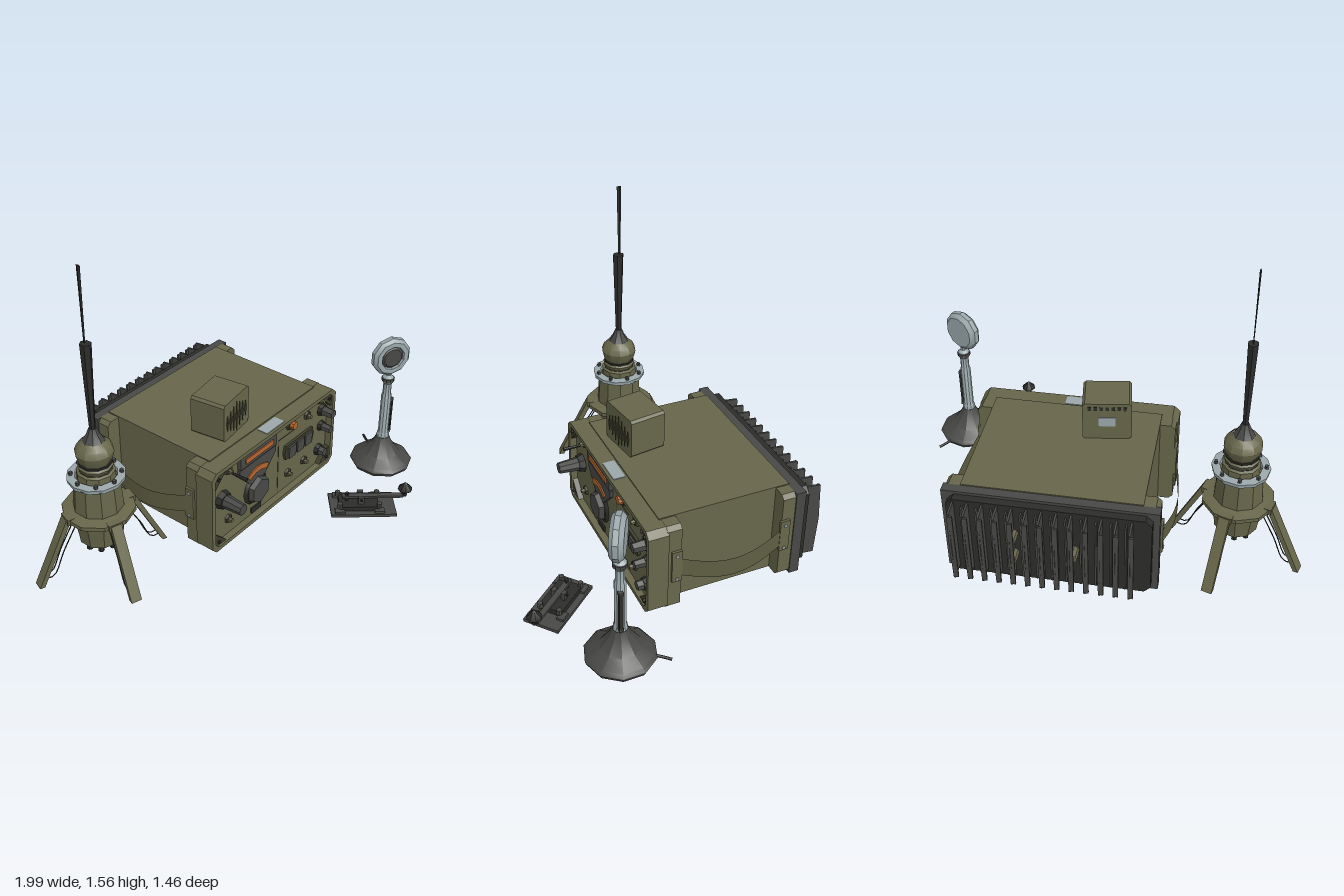
import * as THREE from 'three';
import { toCreasedNormals } from 'three/addons/utils/BufferGeometryUtils.js';

const paint = (name, color, side = THREE.FrontSide) => {
  const m = new THREE.MeshStandardMaterial({ color, side });
  m.name = name;
  return m;
};

export function createModel() {
  const olive = paint('olive', 0x67664a), strapOlive = paint('strap olive', 0x5f5e42, THREE.DoubleSide);
  const darkOlive = paint('dark olive', 0x3f3f2e), charcoal = paint('charcoal', 0x484846);
  const black = paint('black', 0x2c2c2a), silver = paint('silver', 0x9aa7aa), amber = paint('amber', 0xb8662e);

  const model = new THREE.Group();
  const group = (name, parent, x = 0, y = 0, z = 0, yaw = 0) => {
    const g = new THREE.Group();
    g.name = name;
    g.position.set(x, y, z);
    g.rotation.y = yaw;
    parent.add(g);
    return g;
  };
  const add = (parent, name, geo, mat, x = 0, y = 0, z = 0, rx = 0, ry = 0, rz = 0) => {
    const m = new THREE.Mesh(toCreasedNormals(geo, 0.5), mat);
    m.name = name;
    m.position.set(x, y, z);
    m.rotation.set(rx, ry, rz);
    parent.add(m);
    return m;
  };
  const box = (w, h, d) => new THREE.BoxGeometry(w, h, d);
  const cyl = (rTop, rBottom, h, n = 10) => new THREE.CylinderGeometry(rTop, rBottom, h, n);
  const lathe = (pts, n) => new THREE.LatheGeometry(pts.map(p => new THREE.Vector2(p[0], p[1])), n);
  const rod = (pts, r) => new THREE.TubeGeometry(
    new THREE.CatmullRomCurve3(pts.map(p => new THREE.Vector3(...p))), pts.length * 3, r, 5);
  const polygon = (pts, Type = THREE.Shape) => new Type(pts.map(p => new THREE.Vector2(p[0], p[1])));
  const chamfered = (w, h, c) => [[-w + c, -h], [w - c, -h], [w, -h + c], [w, h - c], [w - c, h], [-w + c, h], [-w, h - c], [-w, -h + c]];
  const extrude = (shape, depth) => new THREE.ExtrudeGeometry(shape, { depth, bevelEnabled: false, curveSegments: 8 });

  // Radio case with raised end bands
  const radio = group('radio', model, 0.162, 0.27, 0);
  add(radio, 'case', box(0.84, 0.475, 0.66), olive, 0, 0.003, -0.23);
  for (const [z, d] of [[0.055, 0.07], [-0.525, 0.07]])
    add(radio, 'endBand', extrude(polygon(chamfered(0.495, 0.235, 0.02)), d), olive, 0, 0, z - d / 2);
  const frame = polygon(chamfered(0.502, 0.234, 0.03));
  frame.holes.push(polygon(chamfered(0.478, 0.212, 0.025), THREE.Path));
  add(radio, 'frontFrame', extrude(frame, 0.1), olive, 0, 0, 0.085);
  add(radio, 'frontPanel', box(0.96, 0.43, 0.07), olive, 0, 0, 0.115);
  add(radio, 'topPlate', box(0.14, 0.006, 0.06), silver, 0, 0.235, 0.14);
  for (const sx of [-1, 1]) for (const sy of [-1, 1]) {
    add(radio, 'cornerGuard', extrude(polygon(sx * sy > 0
      ? [[0, 0], [-0.08 * sx, 0], [0, -0.08 * sy]] : [[0, 0], [0, -0.08 * sy], [-0.08 * sx, 0]]), 0.03),
    darkOlive, 0.474 * sx, 0.208 * sy, 0.148);
    add(radio, 'frameBolt', cyl(0.009, 0.009, 0.012, 6), black, 0.45 * sx, 0.185 * sy, 0.181, Math.PI / 2);
  }

  // Carrying straps, bowed outward and sagging, with riveted clips
  for (const s of [-1, 1]) {
    const strap = new THREE.PlaneGeometry(0.55, 0.095, 12, 1);
    const p = strap.attributes.position;
    for (let i = 0; i < p.count; i++) {
      const z = p.getX(i), bow = Math.cos(z / 0.275 * Math.PI / 2);
      p.setXYZ(i, s * (0.498 + 0.045 * bow), p.getY(i) + 0.012 - 0.055 * bow, z);
    }
    strap.computeVertexNormals();
    add(radio, 'carryStrap', strap, strapOlive, 0, 0, -0.23);
    for (const z of [0.045, -0.505]) {
      add(radio, 'strapClip', box(0.014, 0.17, 0.05), olive, s * 0.5, 0.015, z);
      for (const y of [-0.055, 0.075])
        add(radio, 'rivet', cyl(0.009, 0.009, 0.008, 8), silver, s * 0.508, y, z, 0, 0, Math.PI / 2);
    }
  }

  // Rear cooling block: stepped plate, T-shaped fins and small bosses
  const cooler = group('coolingBlock', radio, 0, 0, 0);
  add(cooler, 'rearPlate', box(1.0, 0.47, 0.05), charcoal, 0, 0, -0.58);
  add(cooler, 'rearStep', extrude(polygon(chamfered(0.47, 0.22, 0.03)), 0.04), black, 0, 0, -0.643);
  for (let i = 0; i < 13; i++) {
    const x = -0.39 + i * 0.068;
    add(cooler, 'fin', extrude(polygon([[0.63, -0.19], [0.72, -0.2], [0.732, 0], [0.72, 0.2], [0.63, 0.21]]), 0.01),
      charcoal, x + 0.005, 0, 0, 0, Math.PI / 2);
    add(cooler, 'finEdge', box(0.02, 0.38, 0.01), charcoal, x, 0, -0.72);
    if (i < 12) add(cooler, 'lowFin', box(0.008, 0.38, 0.035), charcoal, x + 0.034, 0, -0.655);
  }
  for (const [x, y] of [[-0.12, 0], [0.16, 0.06], [0.16, -0.06]])
    add(cooler, 'boss', cyl(0.022, 0.022, 0.07, 8), olive, x, y, -0.67, Math.PI / 2);

  // Front panel fittings, placed in model coordinates
  const panel = group('controls', radio, -0.162, -0.27, 0.15);
  const plate = (name, mat, pts, depth = 0.008, z = 0) => add(panel, name, extrude(polygon(pts), depth), mat, 0, 0, z);
  const rect = (x0, y0, x1, y1) => [[x0, y0], [x1, y0], [x1, y1], [x0, y1]];
  plate('displayPlate', charcoal, rect(-0.11, 0.4, 0.175, 0.47), 0.02);
  plate('displayStrip', amber, rect(-0.075, 0.422, 0.14, 0.448), 0.006, 0.02);
  plate('scalePlate', charcoal, [[-0.03, 0.27], [0.09, 0.27], [0.175, 0.36], [0.175, 0.392], [-0.11, 0.392], [-0.11, 0.36]], 0.015);
  const arc = new THREE.Shape();
  arc.absarc(0.03, 0.21, 0.14, Math.PI * 0.3, Math.PI * 0.7);
  arc.absarc(0.03, 0.21, 0.11, Math.PI * 0.7, Math.PI * 0.3, true);
  add(panel, 'scaleArc', extrude(arc, 0.006), amber, 0, 0, 0.015);
  const knob = (name, mat, x, y, r, len, n = 8, taper = 0.85) =>
    add(panel, name, cyl(r * taper, r, len, n), mat, x, y, len / 2, Math.PI / 2);
  knob('tuningSkirt', black, 0.03, 0.21, 0.092, 0.014, 12);
  knob('tuningKnob', charcoal, 0.03, 0.21, 0.08, 0.04, 6);
  knob('volumeSkirt', black, -0.23, 0.295, 0.05, 0.03, 8);
  knob('volumeKnob', charcoal, -0.23, 0.295, 0.038, 0.132, 8, 0.75);
  for (const [x, y, r, len] of [[0.585, 0.39, 0.036, 0.08], [0.585, 0.29, 0.03, 0.07], [0.57, 0.145, 0.034, 0.05]]) {
    knob('smallSkirt', black, x, y, r, 0.02, 8);
    knob('smallKnob', charcoal, x, y, r * 0.8, len, 6);
  }
  knob('lampRing', darkOlive, 0.31, 0.445, 0.036, 0.015);
  knob('lamp', amber, 0.31, 0.445, 0.025, 0.035);
  for (const [x, y] of [[-0.185, 0.44], [-0.185, 0.15], [0.455, 0.42], [0.3, 0.145], [0.44, 0.145], [0.57, 0.455]]) {
    knob('socket', darkOlive, x, y, 0.026, 0.012, 6);
    knob('socketPin', olive, x, y, 0.013, 0.03, 6);
  }
  add(panel, 'toggle', cyl(0.01, 0.006, 0.1, 6), black, -0.185, 0.435, 0.065, Math.PI / 2);
  plate('meterBezel', darkOlive, [[0.265, 0.25], [0.495, 0.25], [0.505, 0.29], [0.495, 0.332], [0.265, 0.332], [0.255, 0.29]], 0.015);
  for (const x of [0.31, 0.38, 0.45])
    plate('meter', charcoal, rect(x - 0.029, 0.252, x + 0.029, 0.318), 0.025);
  plate('badge', black, rect(-0.005, 0.068, 0.07, 0.098));
  plate('panelSeam', darkOlive, rect(0.215, 0.07, 0.219, 0.39), 0.002);
  plate('panelSeam', darkOlive, rect(0.215, 0.386, 0.36, 0.39), 0.002);

  // Loudspeaker on top of the case
  const speaker = group('loudspeaker', model, -0.008, 0.617, -0.043, 0.145);
  add(speaker, 'speakerBox', extrude(polygon(chamfered(0.117, 0.102, 0.012)), 0.185), olive, 0, 0, -0.0925);
  for (let i = -3; i <= 3; i++) {
    const h = 0.082 - Math.abs(i) * 0.013;
    add(speaker, 'grilleSlot', extrude(polygon([[0, -h], [0.009, 0], [0, h], [-0.009, 0]]), 0.004), darkOlive, i * 0.028, -0.01, 0.092);
    add(speaker, 'rearSlot', box(0.016, 0.02, 0.004), black, i * 0.028, 0.075, -0.093);
  }
  add(speaker, 'rearLabel', box(0.08, 0.05, 0.006), silver, 0, 0, -0.094);

  // Antenna: base, collars, dome, whip and four legs
  const antenna = group('antenna', model, -0.665, 0, -0.232, 0);
  add(antenna, 'antennaBase', lathe([[0, 0.16], [0.105, 0.16], [0.11, 0.2], [0.125, 0.3], [0.175, 0.315], [0.175, 0.335],
    [0.12, 0.345], [0.11, 0.49], [0.135, 0.505], [0, 0.505]], 10), olive);
  add(antenna, 'collarRing', lathe([[0.135, 0.498], [0.138, 0.518], [0.1, 0.522], [0.095, 0.5]], 12), silver);
  add(antenna, 'antennaDome', lathe([[0.092, 0.5], [0.092, 0.545], [0.075, 0.555], [0.085, 0.575], [0.07, 0.59], [0.082, 0.61],
    [0.092, 0.65], [0.08, 0.68], [0.052, 0.705]], 10), olive);
  add(antenna, 'domeTip', lathe([[0.053, 0.704], [0.03, 0.74], [0.018, 0.77], [0, 0.77]], 8), charcoal);
  for (const y of [0.55, 0.59]) add(antenna, 'groove', cyl(0.08, 0.08, 0.008, 10), black, 0, y, 0);
  add(antenna, 'lowerWhip', cyl(0.026, 0.014, 0.44, 6), black, 0, 0.98, 0).scale.z = 1.1;
  add(antenna, 'upperWhip', cyl(0.012, 0.006, 0.36, 4), black, 0, 1.38, -0.006).scale.x = 0.35;
  for (let i = 0; i < 8; i++) {
    const a = i * Math.PI / 4;
    add(antenna, 'ringBolt', cyl(0.01, 0.01, 0.02, 6), charcoal, 0.116 * Math.cos(a), 0.525, 0.116 * Math.sin(a));
    add(antenna, 'baseBolt', cyl(0.015, 0.015, 0.04, 6), black, 0.075 * Math.cos(a), 0.145, 0.075 * Math.sin(a));
  }
  add(antenna, 'cableSocket', cyl(0.025, 0.02, 0.05, 8), black, 0, 0.14, 0);
  for (let i = 0; i < 4; i++) {
    const leg = group('leg', antenna, 0, 0, 0, -0.315 + i * Math.PI / 2);
    add(leg, 'legPlate', extrude(polygon([[0.15, 0.335], [0.315, 0], [0.34, 0], [0.178, 0.335]]), 0.052), olive, 0, 0, -0.026);
    add(leg, 'hinge', box(0.05, 0.03, 0.07), olive, 0.15, 0.325, 0);
    for (const z of [-0.015, 0.015])
      add(leg, 'legWire', rod([[0.12, 0.3, z], [0.2, 0.16, z], [0.26, 0.04, z], [0.3, 0.04, z]], 0.003), black);
  }

  // Desk microphone
  const mic = group('microphone', model, 0.832, 0, 0.39, 0);
  add(mic, 'micBase', lathe([[0, 0.035], [0.155, 0.035], [0.165, 0.055], [0.15, 0.072], [0.095, 0.105], [0.05, 0.165],
    [0.035, 0.2], [0, 0.2]], 10), charcoal);
  add(mic, 'stem', lathe([[0.034, 0.19], [0.032, 0.22], [0.027, 0.23], [0.027, 0.46], [0.022, 0.47], [0.022, 0.53],
    [0.03, 0.54], [0.03, 0.565], [0.015, 0.58], [0.015, 0.62]], 10), silver);
  add(mic, 'stemCollar', cyl(0.034, 0.034, 0.016), charcoal, 0, 0.555, 0);
  add(mic, 'talkLever', box(0.014, 0.2, 0.018), black, 0.034, 0.32, 0.012);
  for (const y of [0.22, 0.42]) add(mic, 'leverMount', box(0.03, 0.016, 0.022), charcoal, 0.026, y, 0.01);
  add(mic, 'cable', rod([[0.07, 0.055, -0.12], [0.1, 0.052, -0.16], [0.125, 0.05, -0.19]], 0.007), black);
  const head = group('micHead', mic, -0.004, 0.695, 0.003, -0.52);
  const disc = lathe([[0, -0.03], [0.085, -0.03], [0.106, -0.01], [0.106, 0.015], [0.09, 0.032], [0.065, 0.032],
    [0.062, 0.018], [0, 0.018]], 10);
  add(head, 'headShell', disc, silver, 0, 0, 0, Math.PI / 2);
  add(head, 'headGrille', cyl(0.05, 0.063, 0.012, 10), charcoal, 0, 0, 0.024, Math.PI / 2);

  // Telegraph key
  const key = group('telegraphKey', model, 0.432, 0.035, 0.53, -0.86);
  add(key, 'keyBase', box(0.33, 0.016, 0.18), charcoal, 0, 0.008, 0);
  add(key, 'keyBlock', box(0.2, 0.025, 0.12), black, -0.02, 0.028, 0);
  add(key, 'keyArm', box(0.31, 0.012, 0.028), charcoal, 0.05, 0.066, 0);
  for (const s of [-1, 1]) {
    add(key, 'armPost', box(0.03, 0.045, 0.018), charcoal, -0.01, 0.055, s * 0.026);
    for (const x of [-0.12, 0.08]) {
      add(key, 'terminal', cyl(0.014, 0.014, 0.025, 6), charcoal, x, 0.045, s * 0.05);
      add(key, 'sidePad', box(0.05, 0.012, 0.035), charcoal, x, 0.022, s * 0.065);
    }
  }
  add(key, 'pivot', cyl(0.006, 0.006, 0.09, 6), black, -0.01, 0.066, 0, Math.PI / 2);
  add(key, 'gapScrew', cyl(0.01, 0.01, 0.045, 6), black, -0.08, 0.065, 0);
  add(key, 'keyKnob', lathe([[0, 0.06], [0.012, 0.065], [0.015, 0.085], [0.037, 0.105], [0.034, 0.115], [0, 0.148]], 8), black, 0.212, 0, 0);

  return model;
}
